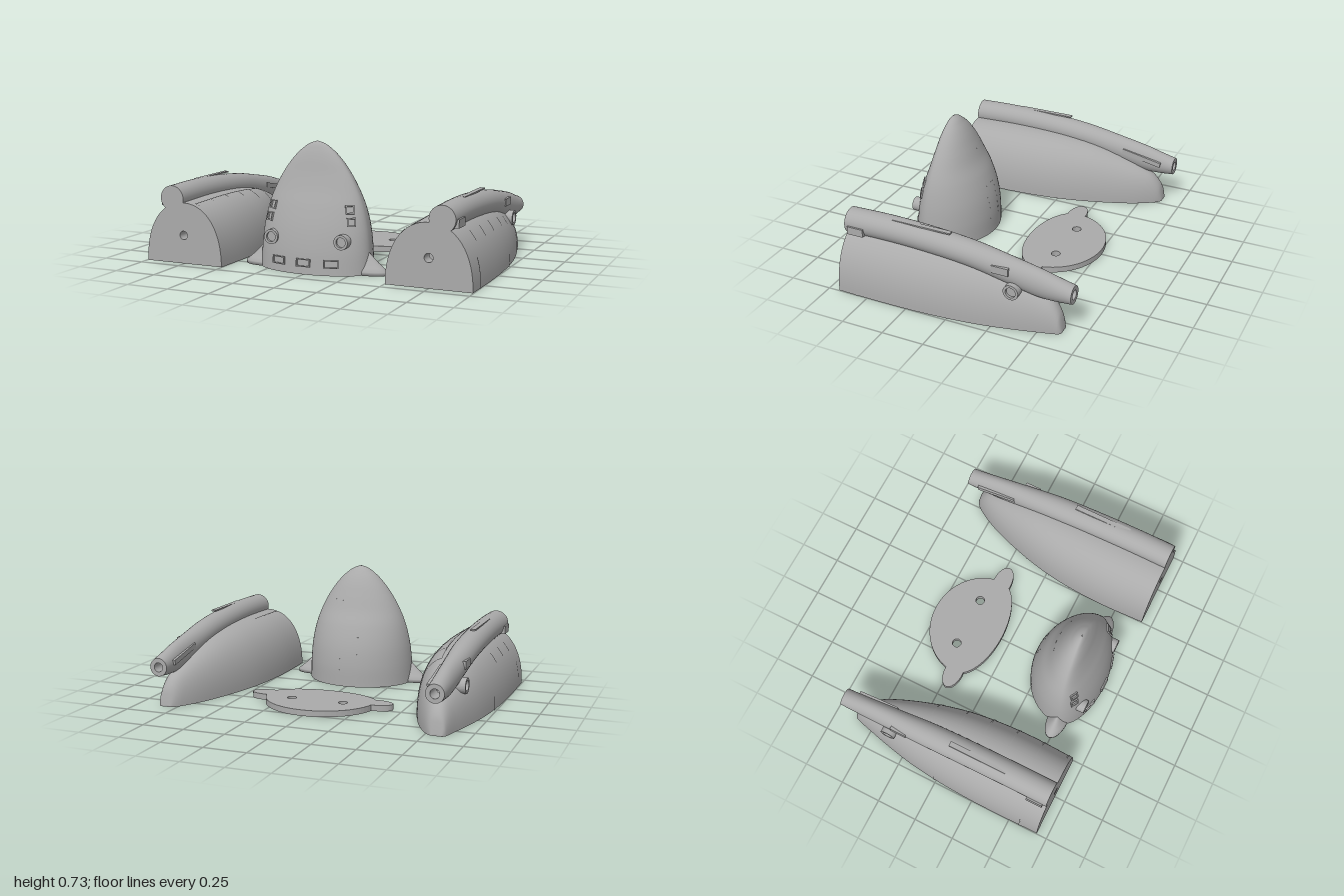
import * as THREE from 'three';

const grey = new THREE.MeshStandardMaterial({ color: 0xaaaaaa, side: THREE.DoubleSide });
grey.name = 'plain grey';

const V = (x, y, z) => new THREE.Vector3(x, y, z);
const range = (n, f) => Array.from({ length: n + 1 }, (_, i) => f(i / n));
const spow = (v, p) => Math.sign(v) * Math.abs(v) ** p;

function add(parent, name, geometry, x = 0, y = 0, z = 0) {
  const mesh = new THREE.Mesh(geometry, grey);
  mesh.name = name;
  mesh.position.set(x, y, z);
  parent.add(mesh);
  return mesh;
}

// Smooth interpolation through rows of [parameter, value, value, ...]
function table(rows) {
  const size = rows[0].length - 1;
  const curve = new THREE.CubicInterpolant(rows.map(r => r[0]), rows.flatMap(r => r.slice(1)), size);
  return t => [...curve.evaluate(t)];
}

// Skin through cross-sections with equal point counts
function loft(rings, closed) {
  const n = rings[0].length, index = [], m = closed ? n : n - 1;
  for (let i = 0; i < rings.length - 1; i++) for (let j = 0; j < m; j++) {
    const a = i * n + j, b = i * n + (j + 1) % n;
    index.push(a, b, b + n, a, b + n, a + n);
  }
  const g = new THREE.BufferGeometry().setFromPoints(rings.flat());
  g.setIndex(index);
  g.computeVertexNormals();
  return g;
}

function flat(points, holes = []) {
  const s = new THREE.Shape(points.map(p => new THREE.Vector2(p[0], p[1])));
  holes.forEach(h => s.holes.push(h));
  return s;
}
const circle = (x, y, r) => new THREE.Path().absarc(x, y, r, 0, Math.PI * 2, true);
const bore = (r, len) => new THREE.CylinderGeometry(r, r, len, 24, 1, true);

// Rectangular frame facing +z
function frame(w, h, t) {
  const rect = (a, b) => [[-a, -b], [a, -b], [a, b], [-a, b]];
  const s = flat(rect(w / 2, h / 2), [flat(rect(w / 2 - t, h / 2 - t))]);
  return new THREE.ExtrudeGeometry(s, { depth: 0.012, bevelEnabled: false });
}

// Round port with a sunken centre, axis along +y
function port(r, inner, len) {
  const pts = [[r, 0], [r, len], [inner, len], [inner, len - 0.015], [0, len - 0.015]];
  const g = new THREE.LatheGeometry(pts.map(p => new THREE.Vector2(...p)), 32).toNonIndexed();
  g.computeVertexNormals();
  return g;
}

// ---- Side hull: z, inner x, outer x, crown height
const hull = table([
  [-0.625, 0.785, 0.85, 0.01], [-0.615, 0.77, 0.862, 0.075], [-0.595, 0.75, 0.87, 0.12],
  [-0.56, 0.725, 0.88, 0.165], [-0.5, 0.69, 0.895, 0.205], [-0.4, 0.645, 0.92, 0.25],
  [-0.2, 0.578, 0.961, 0.315], [0, 0.53, 0.985, 0.347], [0.2, 0.505, 0.997, 0.36],
  [0.4, 0.496, 1, 0.363], [0.685, 0.503, 0.996, 0.355]]);
function hullPoint(z, a, grow = 0) {
  const [xi, xo, h] = hull(z);
  return V((xi + xo) / 2 + ((xo - xi) / 2 + grow) * spow(Math.cos(a), 0.92),
    (h + grow) * spow(Math.max(0, Math.sin(a)), 0.9), z);
}
const hullRing = z => range(48, t => hullPoint(z, t * Math.PI));

// ---- Top pipe: z, centre y, x radius, y radius
const pipe = table([
  [-0.685, 0.248, 0.053, 0.053], [-0.6, 0.255, 0.055, 0.068], [-0.5, 0.268, 0.058, 0.082],
  [-0.3, 0.308, 0.066, 0.08], [-0.1, 0.347, 0.073, 0.075], [0.2, 0.374, 0.075, 0.075],
  [0.45, 0.381, 0.075, 0.075], [0.685, 0.376, 0.075, 0.075]]);
const PX = 0.823;
const pipeRing = z => {
  const [cy, rx, ry] = pipe(z);
  return range(31, t => {
    const a = t * Math.PI * 2 * 31 / 32;
    return V(PX + rx * Math.cos(a), cy + ry * Math.sin(a), z);
  });
};

function sideHull() {
  const g = new THREE.Group();
  const zs = range(64, t => -0.625 + 1.31 * (t < 0.3 ? t * t / 0.6 + t * 0.5 : t));
  add(g, 'hullShell', loft(zs.map(hullRing), false));
  add(g, 'hullTail', new THREE.ShapeGeometry(flat(hullRing(-0.625).map(p => [p.x, p.y]))), 0, 0, -0.625);

  // Front wall with a bored hole
  const wall = flat(hullRing(0.685).map(p => [p.x, p.y]), [circle(0.75, 0.165, 0.025)]);
  add(g, 'frontWall', new THREE.ShapeGeometry(wall), 0, 0, 0.685);
  add(g, 'frontBore', bore(0.025, 0.08), 0.75, 0.165, 0.645).rotation.x = Math.PI / 2;

  // Underside rim and tapered cavity
  const open = [[0.585, 0.57], [0.915, 0.57], [0.85, -0.4], [0.72, -0.4]];
  const edge = [...zs.map(z => [hull(z)[1], -z]), ...zs.slice().reverse().map(z => [hull(z)[0], -z])];
  const rim = new THREE.ShapeGeometry(flat(edge, [flat(open.map(p => [p[0], -p[1]]))]));
  rim.rotateX(-Math.PI / 2);
  rim.setIndex([...rim.index.array].reverse());
  rim.computeVertexNormals();
  add(g, 'underRim', rim);
  const roof = p => 0.13 + 0.09 * (p[1] + 0.4);
  const low = open.map(p => V(p[0], 0, p[1])), high = open.map(p => V(p[0], roof(p), p[1]));
  const mid = V(0.77, roof([0, 0.08]), 0.08);
  const sides = loft([low, high], true).toNonIndexed();
  sides.computeVertexNormals();
  add(g, 'cavityWalls', sides);
  add(g, 'cavityRoof', loft([high, high.map(() => mid)], true));

  // Pipe with a hollow rear end
  add(g, 'topPipe', loft(range(48, t => pipeRing(-0.685 + 1.37 * t)), true));
  add(g, 'pipeFront', new THREE.ShapeGeometry(flat(pipeRing(0.685).map(p => [p.x, p.y]))), 0, 0, 0.685);
  add(g, 'pipeMouth', new THREE.RingGeometry(0.027, 0.053, 32), PX, 0.248, -0.685).rotation.y = Math.PI;
  add(g, 'pipeBore', bore(0.027, 0.12), PX, 0.248, -0.625).rotation.x = Math.PI / 2;
  add(g, 'pipeSlot', new THREE.BoxGeometry(0.03, 0.008, 0.36), 0.835, 0.45, 0.22);
  const bar = add(g, 'pipeBar', new THREE.BoxGeometry(0.018, 0.03, 0.26), 0.765, 0.29, -0.48);
  bar.rotation.x = -0.2;

  // Panel seams following the shell
  const seam = (z, a0, a1) => add(g, 'panelSeam', loft([-0.004, 0.004].map(d =>
    range(16, t => hullPoint(z + d, a0 + (a1 - a0) * t, 0.003))), false));
  [-0.16, 0.015, 0.17, 0.335, 0.5, 0.66].forEach(z => seam(z, 1.82, Math.PI));
  [-0.15, -0.01, 0.175, 0.34, 0.5].forEach(z => seam(z, 0.68, 0.9));
  seam(0.57, 0, 0.44);
  seam(-0.01, 0, 0.2);
  add(g, 'longSeam', loft([1.8, 1.83].map(a => range(30, t => hullPoint(-0.16 + 0.82 * t, a, 0.003))), false));

  // Outer clips and round port
  add(g, 'frontClip', new THREE.BoxGeometry(0.06, 0.047, 0.1), 0.878, 0.353, 0.612);
  add(g, 'rearClip', new THREE.BoxGeometry(0.06, 0.045, 0.1), 0.865, 0.327, -0.28);
  add(g, 'sidePort', port(0.045, 0.03, 0.08), 0.832, 0.22, -0.352).rotation.z = -Math.PI / 2;
  return g;
}

// ---- Nose: y, half width, front depth, back depth
const nose = table([
  [0, 0.335, 0.165, 0.3], [0.13, 0.33, 0.16, 0.293], [0.25, 0.317, 0.143, 0.27],
  [0.37, 0.289, 0.113, 0.225], [0.46, 0.253, 0.084, 0.177], [0.55, 0.203, 0.06, 0.136],
  [0.63, 0.143, 0.043, 0.095], [0.68, 0.091, 0.028, 0.06], [0.715, 0.036, 0.012, 0.024],
  [0.725, 0.004, 0.002, 0.003]]);
const noseCz = y => 0.49 - 0.03 * y / 0.725;
function noseRing(y) {
  const [w, f, b] = nose(y);
  return range(63, t => {
    const a = t * Math.PI * 2 * 63 / 64, s = Math.sin(a);
    return V(w * Math.cos(a), y, noseCz(y) + (s > 0 ? f : b) * s);
  });
}
function nosePoint(x, y, side) {
  const [w, f, b] = nose(y);
  return V(x, y, noseCz(y) + side * (side > 0 ? f : b) * Math.sqrt(Math.max(0, 1 - (x / w) ** 2)));
}
// Set a part on the nose skin, facing along its normal
function onNose(g, name, geometry, x, y, side) {
  const p = nosePoint(x, y, side), e = 0.004;
  const dx = nosePoint(x + e, y, side).sub(p), dy = nosePoint(x, y + e, side).sub(p);
  const n = dx.cross(dy).normalize().multiplyScalar(side);
  const m = add(new THREE.Group(), name, geometry, p.x, p.y, p.z);
  m.lookAt(p.clone().add(n));
  m.translateZ(-0.004);
  g.add(m);
}

function noseCone() {
  const g = new THREE.Group();
  g.name = 'noseCone';
  add(g, 'noseShell', loft(range(60, t => noseRing(0.725 * (1 - (1 - t) ** 1.5))), true));
  const base = new THREE.ShapeGeometry(flat(noseRing(0).map(p => [p.x, p.z]),
    [-0.16, 0.16].map(x => circle(x, 0.42, 0.027))));
  add(g, 'noseBase', base).rotation.x = Math.PI / 2;

  const flare = [[0, 0], [0.13, 0], [0.13, 0.02], [0.105, 0.04], [0.075, 0.065], [0.03, 0.11], [0.005, 0.14]];
  for (const s of [-1, 1]) {
    add(g, 'baseBore', bore(0.027, 0.05), s * 0.16, 0.025, 0.42);
    const tab = add(g, 'flaredTab', new THREE.LatheGeometry(flare.map(p => new THREE.Vector2(...p)), 32),
      s * 0.31, 0, 0.49);
    tab.scale.z = 0.48;
    add(g, 'frontPort', port(0.042, 0.028, 0.065), s * 0.215, 0.19, 0.56).rotation.x = Math.PI / 2;
    onNose(g, 'sideWindow', frame(0.05, 0.05, 0.008), s * 0.235, 0.362, 1);
    onNose(g, 'sideWindow', frame(0.05, 0.05, 0.008), s * 0.25, 0.295, 1);
  }
  for (const x of [-0.16, 0, 0.16]) onNose(g, 'frontVent', frame(0.085, 0.045, 0.006), x, 0.065, 1);

  // Small rivets marking the rear door and windows
  const rivet = new THREE.BoxGeometry(0.016, 0.006, 0.009);
  for (const x of [-0.13, -0.08, -0.03, 0.03, 0.08, 0.13]) onNose(g, 'rearWindowRivet', rivet, x, 0.52, -1);
  for (const x of [-0.055, 0.055]) for (let i = 0; i < 7; i++)
    onNose(g, 'doorRivet', rivet, x, 0.1 + i * 0.035, -1);
  for (const x of [-0.025, 0.025]) onNose(g, 'doorRivet', rivet, x, 0.31, -1);
  return g;
}

// ---- Loose base plate with two holes and end tabs
function basePlate() {
  const g = new THREE.Group(), T = 0.035;
  g.name = 'basePlate';
  const outline = noseRing(0).map(p => [p.x, 0.71 - p.z]);
  const s = flat(outline, [-0.16, 0.16].map(x => circle(x, 0.29, 0.027)));
  const body = new THREE.ExtrudeGeometry(s, { depth: T, bevelEnabled: false, curveSegments: 24 });
  add(g, 'plateBody', body.rotateX(-Math.PI / 2));
  for (const x of [-0.335, 0.335])
    add(g, 'plateTab', new THREE.CylinderGeometry(0.107, 0.107, T, 32), x, T / 2, -0.22).scale.z = 0.54;
  return g;
}

export function createModel() {
  const model = new THREE.Group();
  const left = sideHull(), right = sideHull();
  left.name = 'leftHull';
  right.name = 'rightHull';
  right.scale.x = -1;
  model.add(left, right, noseCone(), basePlate());
  return model;
}
